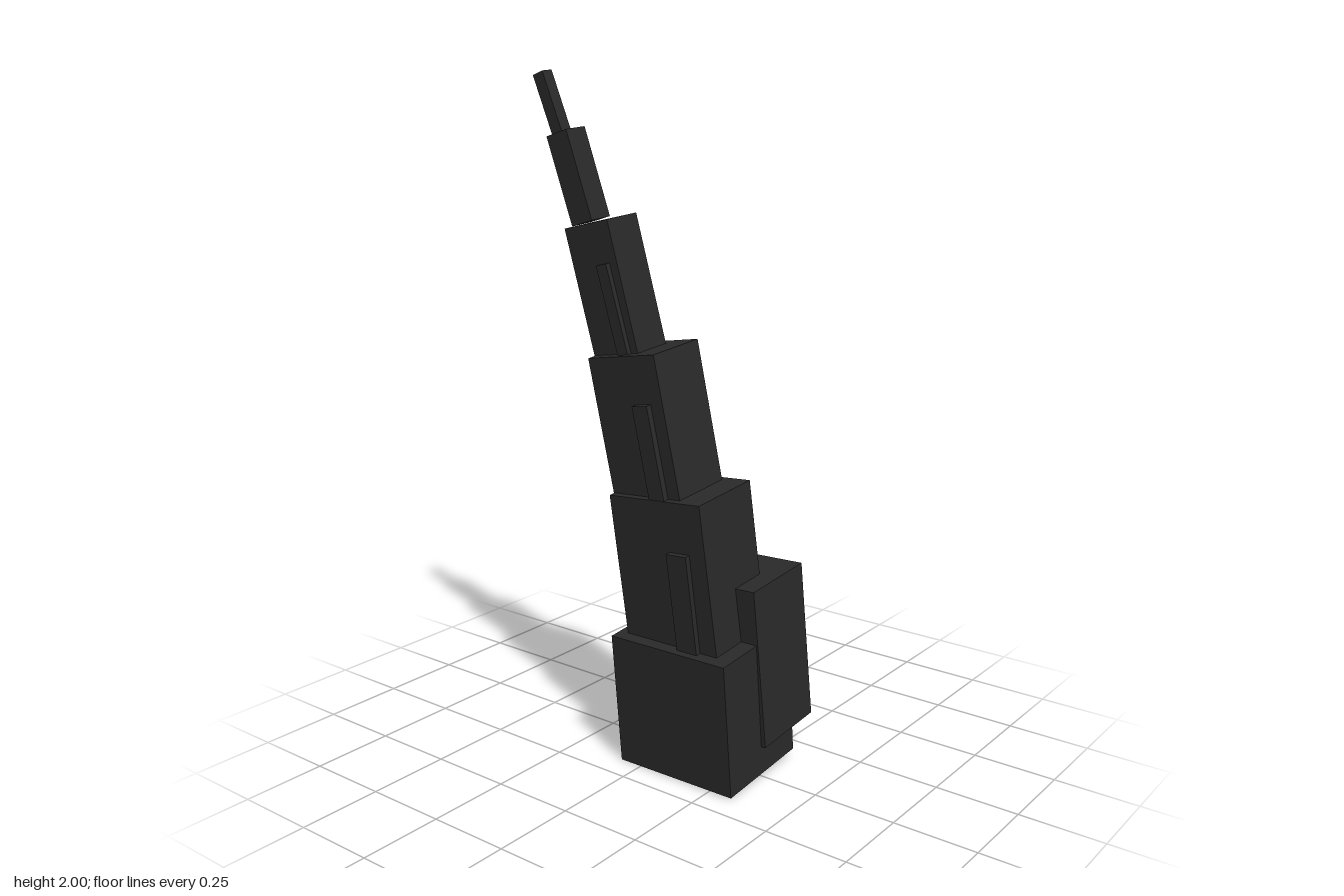
import * as THREE from 'three';

export function createModel() {
  const model = new THREE.Group();
  model.name = 'leaningTower';
  const charcoal = new THREE.MeshStandardMaterial({ color: 0x2a2a2a });
  charcoal.name = 'charcoal';

  const LEAN = 0.085; // shared forward lean

  // Box hung from the centre of its top face, tilted sideways by rz
  function block(name, [x, y, z], [w, h, d], rz) {
    const pivot = new THREE.Group();
    pivot.name = name;
    pivot.position.set(x, y, z);
    pivot.rotation.set(LEAN, 0, rz);
    const mesh = new THREE.Mesh(new THREE.BoxGeometry(w, h, d), charcoal);
    mesh.name = name + 'Block';
    mesh.position.y = -h / 2;
    pivot.add(mesh);
    model.add(pivot);
    return pivot;
  }

  // Thin panel on the right-hand (-x) face of a tier
  function sidePanel(tier, w, h, d) {
    const panel = new THREE.Mesh(new THREE.BoxGeometry(0.012, h * 0.98, d * 0.75), charcoal);
    panel.name = 'sidePanel';
    panel.position.set(-w / 2, -h * 0.51, 0);
    tier.add(panel);
  }

  // Base and rear annex
  block('base', [0.123, 0.422, 0.045], [0.4, 0.405, 0.32], 0.012);
  block('annex', [0.187, 0.591, -0.062], [0.268, 0.482, 0.245], 0.042);

  // Stacked tiers, each narrower and bent further sideways
  const tiers = [
    ['lowerTier', [0.077, 0.852, 0.082], [0.318, 0.45, 0.24], 0.08],
    ['middleTier', [-0.027, 1.244, 0.115], [0.238, 0.41, 0.198], 0.155],
    ['upperTier', [-0.149, 1.594, 0.148], [0.16, 0.375, 0.125], 0.215],
    ['crown', [-0.256, 1.834, 0.166], [0.077, 0.255, 0.077], 0.28],
    ['spire', [-0.326, 1.992, 0.18], [0.038, 0.175, 0.038], 0.33],
  ];
  tiers.forEach(([name, top, size, rz], i) => {
    const tier = block(name, top, size, rz);
    if (i < 2) sidePanel(tier, ...size);
  });

  // Vertical fins on the front faces
  block('lowerFin', [0.159, 0.702, 0.177], [0.069, 0.31, 0.06], 0.07);
  block('middleFin', [0.045, 1.11, 0.192], [0.053, 0.28, 0.06], 0.155);
  block('upperFin', [-0.09, 1.485, 0.187], [0.037, 0.26, 0.06], 0.225);

  return model;
}
